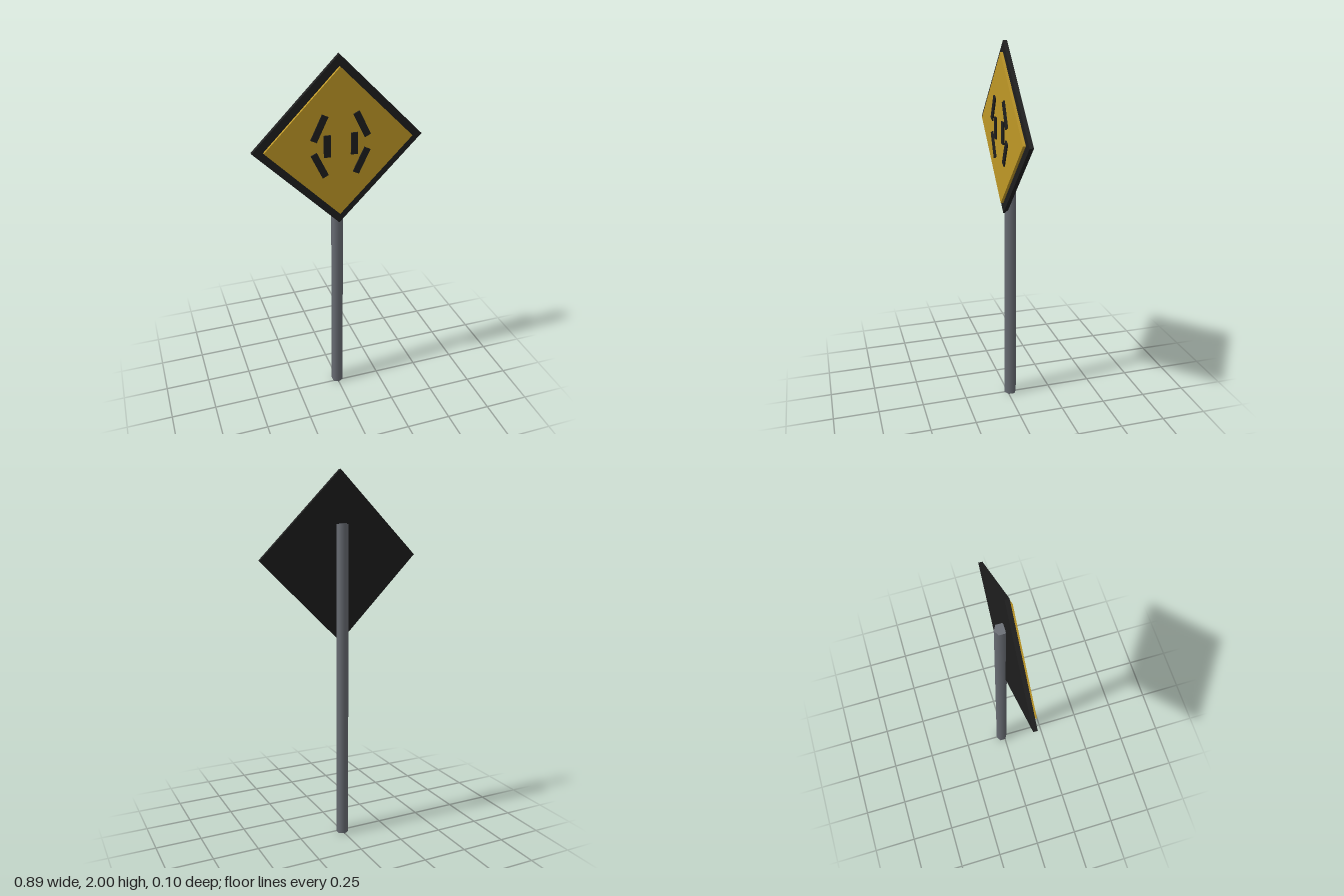
import * as THREE from 'three';

export function createModel() {
  const model = new THREE.Group();
  const black = new THREE.MeshStandardMaterial({ name: 'black', color: 0x1e1e1e });
  const yellow = new THREE.MeshStandardMaterial({ name: 'sign yellow', color: 0xbf9826 });
  const grey = new THREE.MeshStandardMaterial({ name: 'pole grey', color: 0x686c73 });

  const add = (name, geometry, material, x, y, z, turn = 0) => {
    const mesh = new THREE.Mesh(geometry, material);
    mesh.name = name;
    mesh.position.set(x, y, z);
    mesh.rotation.z = turn;
    model.add(mesh);
  };

  const signY = 1.553;

  // Slightly tapered six-sided pole
  add('pole', new THREE.CylinderGeometry(0.031, 0.034, 1.726, 6), grey, 0, 0.863, -0.016);

  // Square plates turned on their corners, sized by half diagonal
  const plate = (name, half, back, front, material) => {
    const side = half * Math.SQRT2;
    add(name, new THREE.BoxGeometry(side, side, front - back), material,
      0, signY, (back + front) / 2, Math.PI / 4);
  };
  plate('backPlate', 0.447, 0.003, 0.024, black);
  plate('signFace', 0.39, 0.024, 0.038, yellow);

  // Mirrored symbol: an upright bar with a slanted bar above and below
  const upright = new THREE.BoxGeometry(0.035, 0.115, 0.007);
  const slanted = new THREE.BoxGeometry(0.035, 0.14, 0.007);
  for (const [sideName, s] of [['left', 1], ['right', -1]]) {
    add(sideName + 'MiddleBar', upright, black, s * 0.071, signY, 0.0455);
    add(sideName + 'UpperBar', slanted, black, s * 0.111, signY + 0.097, 0.0455, s * 0.45);
    add(sideName + 'LowerBar', slanted, black, s * 0.111, signY - 0.097, 0.0455, -s * 0.45);
  }

  return model;
}
